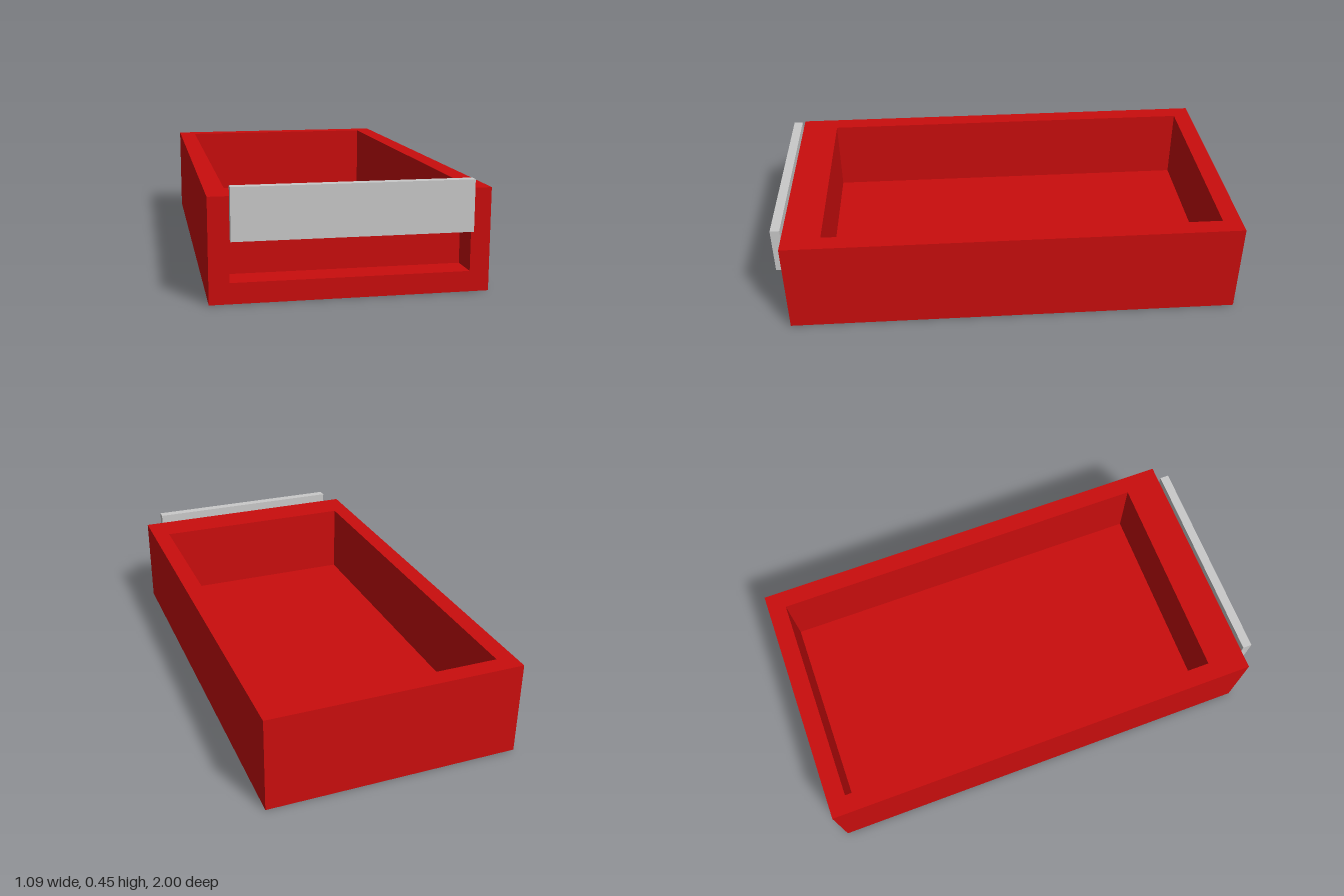
import * as THREE from 'three';
import { mergeGeometries } from 'three/addons/utils/BufferGeometryUtils.js';

const WIDTH = 1.09, HEIGHT = 0.41, BACK = -1, FRONT = 0.96;
const HOLE_W = 0.934, FLOOR = 0.082;
const RECESS_TOP = 0.328, RECESS_BACK = 0.836;
const CAVITY_BACK = -0.92, CAVITY_FRONT = 0.795;

// Box between two corners with some faces left out; inward turns it into a pocket lining.
// Face order: +x, -x, +y, -y, +z, -z
function boxFaces([x0, y0, z0], [x1, y1, z1], omit, inward = false) {
  const box = new THREE.BoxGeometry(x1 - x0, y1 - y0, z1 - z0).toNonIndexed();
  const src = box.attributes.position.array;
  const kept = [];
  for (let f = 0; f < 6; f++) {
    if (!omit.includes(f)) kept.push(...src.slice(f * 18, f * 18 + 18));
  }
  if (inward) {
    // Swap two corners of each triangle to face the inside
    for (let i = 0; i < kept.length; i += 9) {
      const b = kept.slice(i + 3, i + 6), c = kept.slice(i + 6, i + 9);
      kept.splice(i + 3, 6, ...c, ...b);
    }
  }
  const geo = new THREE.BufferGeometry();
  geo.setAttribute('position', new THREE.Float32BufferAttribute(kept, 3));
  geo.translate((x0 + x1) / 2, (y0 + y1) / 2, (z0 + z1) / 2);
  geo.computeVertexNormals();
  return geo;
}

function rectPoints(w, v0, v1) {
  return [[-w / 2, v0], [w / 2, v0], [w / 2, v1], [-w / 2, v1]]
    .map(([x, y]) => new THREE.Vector2(x, y));
}

// Flat face in the xy plane with a rectangular opening
function framedFace(v0, v1, hole0, hole1) {
  const shape = new THREE.Shape(rectPoints(WIDTH, v0, v1));
  shape.holes.push(new THREE.Path(rectPoints(HOLE_W, hole0, hole1).reverse()));
  const geo = new THREE.ShapeGeometry(shape).toNonIndexed();
  geo.deleteAttribute('uv');
  return geo;
}

export function createModel() {
  const red = new THREE.MeshStandardMaterial({ color: 0xca0d0d });
  red.name = 'red';
  const grey = new THREE.MeshStandardMaterial({ color: 0xc9c9c9 });
  grey.name = 'light grey';

  const model = new THREE.Group();
  model.name = 'drawer';
  const h = HOLE_W / 2;

  // Tray: outer skin, rim, front face, storage cavity and finger recess
  const rim = framedFace(-FRONT, -BACK, -CAVITY_FRONT, -CAVITY_BACK)
    .rotateX(-Math.PI / 2).translate(0, HEIGHT, 0);
  const frontFace = framedFace(0, HEIGHT, FLOOR, RECESS_TOP).translate(0, 0, FRONT);
  const tray = new THREE.Mesh(mergeGeometries([
    boxFaces([-WIDTH / 2, 0, BACK], [WIDTH / 2, HEIGHT, FRONT], [2, 4]),
    rim,
    frontFace,
    boxFaces([-h, FLOOR, CAVITY_BACK], [h, HEIGHT, CAVITY_FRONT], [2], true),
    boxFaces([-h, FLOOR, RECESS_BACK], [h, RECESS_TOP, FRONT], [4], true),
  ]), red);
  tray.name = 'tray';
  model.add(tray);

  // Flat pull plate across the front, standing slightly above the rim
  const handle = new THREE.Mesh(new THREE.BoxGeometry(0.928, 0.203, 0.04), grey);
  handle.name = 'handle';
  handle.position.set(0, 0.3485, 0.98);
  model.add(handle);

  return model;
}
